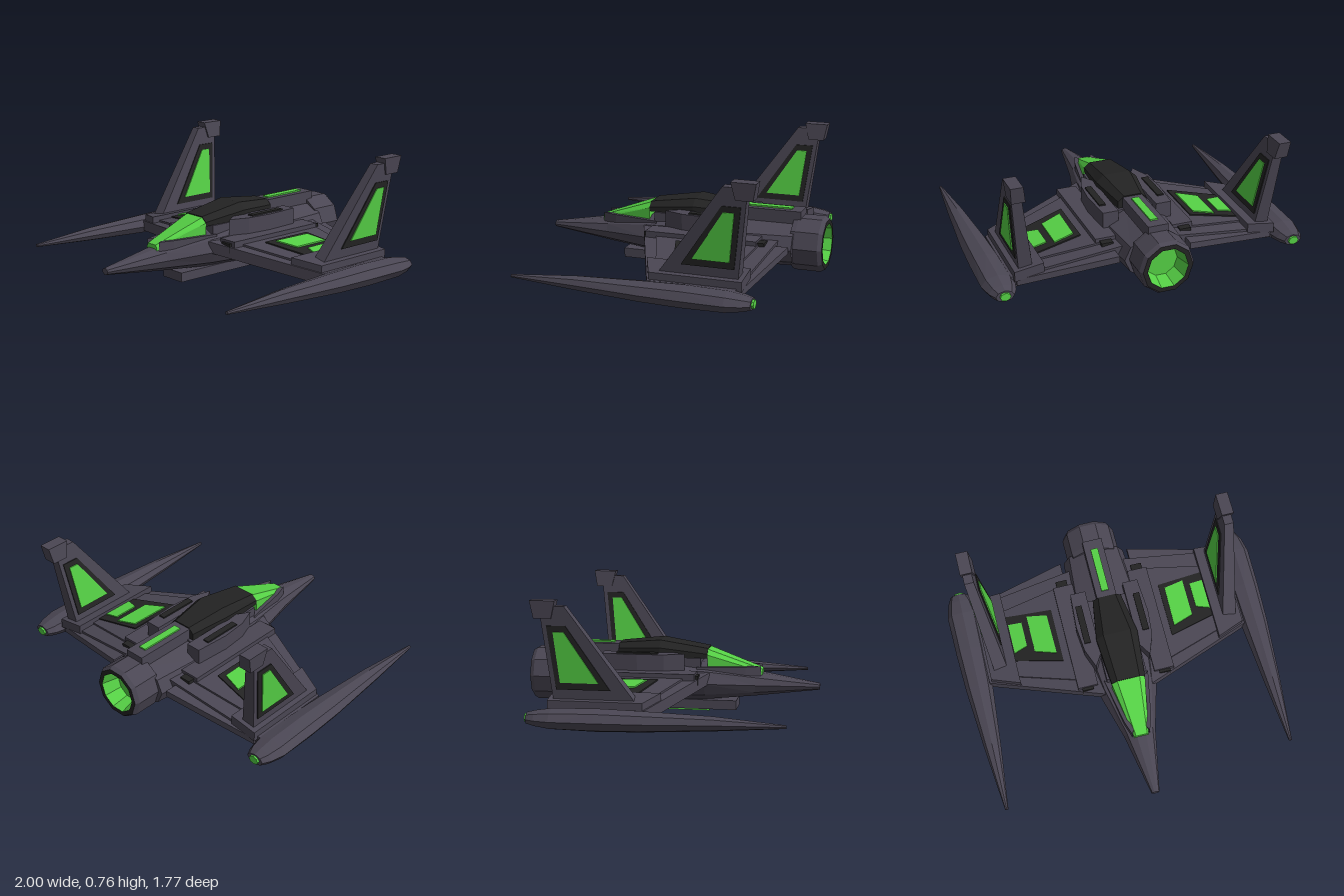
import * as THREE from 'three';

const hull = new THREE.MeshStandardMaterial({ color: 0x4a4653 });
hull.name = 'hull grey';
const dark = new THREE.MeshStandardMaterial({ color: 0x232323 });
dark.name = 'dark trim';
const glow = new THREE.MeshStandardMaterial({ color: 0x55d045 });
glow.name = 'glow green';

// Faceted normals for any geometry
function flat(geo) {
  const g = geo.index ? geo.toNonIndexed() : geo;
  g.deleteAttribute('uv');
  g.computeVertexNormals();
  return g;
}

// Mirror across x, restoring the corner order
function mirror(geo) {
  const g = geo.clone().scale(-1, 1, 1);
  const p = g.attributes.position;
  const a = new THREE.Vector3(), b = new THREE.Vector3();
  for (let i = 0; i < p.count; i += 3) {
    a.fromBufferAttribute(p, i + 1);
    b.fromBufferAttribute(p, i + 2);
    p.setXYZ(i + 1, b.x, b.y, b.z);
    p.setXYZ(i + 2, a.x, a.y, a.z);
  }
  return flat(g);
}

// Skin closed rings ordered front to back, each counter-clockwise seen from the front
function loft(rings) {
  const v = [], n = rings[0].length;
  const tri = (...pts) => pts.forEach(p => v.push(...p));
  const mid = r => [0, 1, 2].map(k => r.reduce((s, p) => s + p[k], 0) / n);
  const first = rings[0], last = rings[rings.length - 1];
  for (let j = 0; j < n; j++) {
    const k = (j + 1) % n;
    for (let i = 0; i + 1 < rings.length; i++) {
      const f = rings[i], b = rings[i + 1];
      tri(f[j], b[j], f[k]);
      tri(f[k], b[j], b[k]);
    }
    tri(mid(first), first[j], first[k]);
    tri(mid(last), last[k], last[j]);
  }
  const g = new THREE.BufferGeometry();
  g.setAttribute('position', new THREE.Float32BufferAttribute(v, 3));
  return flat(g);
}

const oval = (sides, cx) => ([z, cy, rx, ry]) => Array.from({ length: sides }, (_, i) => {
  const a = i / sides * Math.PI * 2;
  return [cx + rx * Math.cos(a), cy + ry * Math.sin(a), z];
});

const hood = ([z, w, wTop, y0, ym, y1]) =>
  [[w, y0, z], [w, ym, z], [wTop, y1, z], [-wTop, y1, z], [-w, ym, z], [-w, y0, z]];

function extrude(pts, depth) {
  const shape = new THREE.Shape(pts.map(p => new THREE.Vector2(p[0], p[1])));
  return new THREE.ExtrudeGeometry(shape, { depth, bevelEnabled: false });
}

// Plan outline in [x, z], between two heights, optionally following the wing droop
const DROOP = -0.155;
function plate(pts, y0, y1, slope = 0) {
  const g = extrude(pts.map(([x, z]) => [x, -z]), y1 - y0).rotateX(-Math.PI / 2);
  const p = g.attributes.position;
  for (let i = 0; i < p.count; i++) p.setY(i, p.getY(i) + y0 + slope * (p.getX(i) - 0.25));
  return flat(g);
}

// Side outline in [z, y], canted and tapered; u is in half thicknesses
function finPlate(pts, u0, u1) {
  const g = extrude(pts.map(([z, y]) => [-z, y]), u1 - u0).rotateY(Math.PI / 2);
  const p = g.attributes.position;
  for (let i = 0; i < p.count; i++) {
    const h = p.getY(i) - 0.2;
    p.setX(i, 0.742 + 0.12 * h + (p.getX(i) + u0) * (0.042 - 0.026 * h));
  }
  return flat(g);
}

const box = (x0, x1, y0, y1, z0, z1) =>
  flat(new THREE.BoxGeometry(x1 - x0, y1 - y0, z1 - z0)
    .translate((x0 + x1) / 2, (y0 + y1) / 2, (z0 + z1) / 2));

export function createModel() {
  const model = new THREE.Group();
  model.name = 'starfighter';
  const add = (name, geo, mat) => {
    const m = new THREE.Mesh(geo, mat);
    m.name = name;
    model.add(m);
  };
  const pair = (name, geo, mat) => {
    add(name + 'Left', geo, mat);
    add(name + 'Right', mirror(geo), mat);
  };

  // Fuselage
  add('fuselage', loft([
    [0.885, 0.165, 0.025, 0.02], [0.5, 0.175, 0.1, 0.077], [0.2, 0.19, 0.185, 0.12],
    [-0.05, 0.195, 0.22, 0.14], [-0.42, 0.195, 0.22, 0.14], [-0.71, 0.2, 0.195, 0.135],
  ].map(oval(10, 0))), hull);
  add('canopyBase', box(-0.125, 0.125, 0.26, 0.337, -0.36, 0.17), hull);
  add('canopy', loft([
    [0.21, 0.105, 0.07, 0.335, 0.36, 0.39], [-0.08, 0.13, 0.085, 0.335, 0.395, 0.437],
    [-0.34, 0.09, 0.055, 0.335, 0.38, 0.412],
  ].map(hood)), dark);
  add('windshield', loft([
    [0.54, 0.045, 0.035, 0.2, 0.25, 0.266], [0.21, 0.105, 0.07, 0.22, 0.355, 0.385],
  ].map(hood)), glow);
  pair('windshieldSill',
    plate([[0.095, 0.2], [0.14, 0.15], [0.085, 0.44], [0.055, 0.53], [0.04, 0.5]], 0.2, 0.285), hull);
  add('spine', box(-0.062, 0.062, 0.28, 0.405, -0.735, -0.32), hull);
  add('spineLight', box(-0.023, 0.023, 0.405, 0.414, -0.67, -0.38), glow);
  add('bellyKeel', box(-0.085, 0.085, 0.018, 0.075, -0.52, 0.385), hull);
  add('bellyLight', box(-0.037, 0.037, 0, 0.018, -0.315, 0.215), glow);

  // Shoulder blocks and wing roots
  pair('shoulder', plate([[0.12, 0], [0.17, 0.08], [0.215, -0.04], [0.23, -0.2],
    [0.215, -0.42], [0.12, -0.42]], 0.24, 0.368), hull);
  pair('shoulderVent', box(0.165, 0.205, 0.368, 0.377, -0.33, -0.08), dark);
  pair('wingRoot', box(0.18, 0.305, 0.17, 0.27, -0.53, 0.16), hull);
  pair('wingRootVent', box(0.21, 0.28, 0.2, 0.256, -0.572, 0.178), dark);

  // Engine
  const ring = (...pts) => flat(new THREE.LatheGeometry(
    pts.map(p => new THREE.Vector2(...p)), 10, Math.PI / 2).rotateX(-Math.PI / 2).translate(0, 0.205, 0));
  add('engineShell', ring([0, 0.69], [0.163, 0.69], [0.168, 0.72], [0.168, 0.86], [0.153, 0.885]), hull);
  add('engineRim', ring([0.153, 0.885], [0.125, 0.885]), dark);
  add('engineGlow', ring([0.125, 0.885], [0.1, 0.78], [0, 0.78]), glow);

  // Wings, with layered panels
  pair('wing', plate([[0.15, 0.23], [0.83, -0.05], [0.83, -0.57], [0.15, -0.63]], 0.172, 0.24, DROOP), hull);
  pair('wingFlap', plate([[0.22, -0.6], [0.8, -0.55], [0.8, -0.59], [0.22, -0.7]], 0.185, 0.225, DROOP), hull);
  pair('wingPanel', plate([[0.25, 0.11], [0.66, -0.04], [0.66, -0.485], [0.25, -0.54]], 0.235, 0.252, DROOP), hull);
  pair('wingWindowFrame', plate([[0.35, -0.05], [0.65, -0.14], [0.65, -0.44], [0.35, -0.4]], 0.252, 0.26, DROOP), dark);
  pair('wingWindowInner', plate([[0.38, -0.11], [0.51, -0.16], [0.51, -0.4], [0.385, -0.37]], 0.26, 0.268, DROOP), glow);
  pair('wingWindowOuter', plate([[0.55, -0.21], [0.635, -0.185], [0.635, -0.38], [0.55, -0.37]], 0.26, 0.268, DROOP), glow);
  pair('wingUnderLight', plate([[0.42, -0.12], [0.65, -0.2], [0.63, -0.4], [0.42, -0.36]], 0.164, 0.172, DROOP), glow);
  pair('finBase', plate([[0.64, 0.02], [0.815, -0.055], [0.815, -0.6], [0.64, -0.6]], 0.22, 0.282, DROOP), hull);

  // Tail fins
  pair('fin', finPlate([[-0.1, 0.19], [-0.49, 0.73], [-0.635, 0.73], [-0.57, 0.19]], -1, 1), hull);
  pair('finCap', finPlate([[-0.54, 0.762], [-0.685, 0.762], [-0.665, 0.66], [-0.565, 0.66]], -1.35, 1.35), hull);
  const frame = [[-0.24, 0.255], [-0.485, 0.62], [-0.595, 0.62], [-0.55, 0.255]];
  const pane = [[-0.305, 0.295], [-0.495, 0.585], [-0.557, 0.585], [-0.525, 0.295]];
  for (const [side, s] of [['Outer', 1], ['Inner', -1]]) {
    const slab = (pts, a, b) => finPlate(pts, Math.min(s * a, s * b), Math.max(s * a, s * b));
    pair('finFrame' + side, slab(frame, 1, 1.18), dark);
    pair('finWindow' + side, slab(pane, 1.18, 1.36), glow);
  }

  // Wingtip pods
  pair('pod', loft([
    [0.755, 0.11, 0.01, 0.01], [0.35, 0.113, 0.052, 0.042], [-0.05, 0.11, 0.085, 0.06],
    [-0.3, 0.11, 0.096, 0.066], [-0.55, 0.11, 0.1, 0.06], [-0.64, 0.11, 0.08, 0.046],
    [-0.69, 0.11, 0.055, 0.034],
  ].map(oval(8, 0.9))), hull);
  pair('podNozzle', loft([[-0.68, 0.11, 0.034, 0.027], [-0.702, 0.11, 0.032, 0.025]].map(oval(8, 0.9))), glow);

  return model;
}
